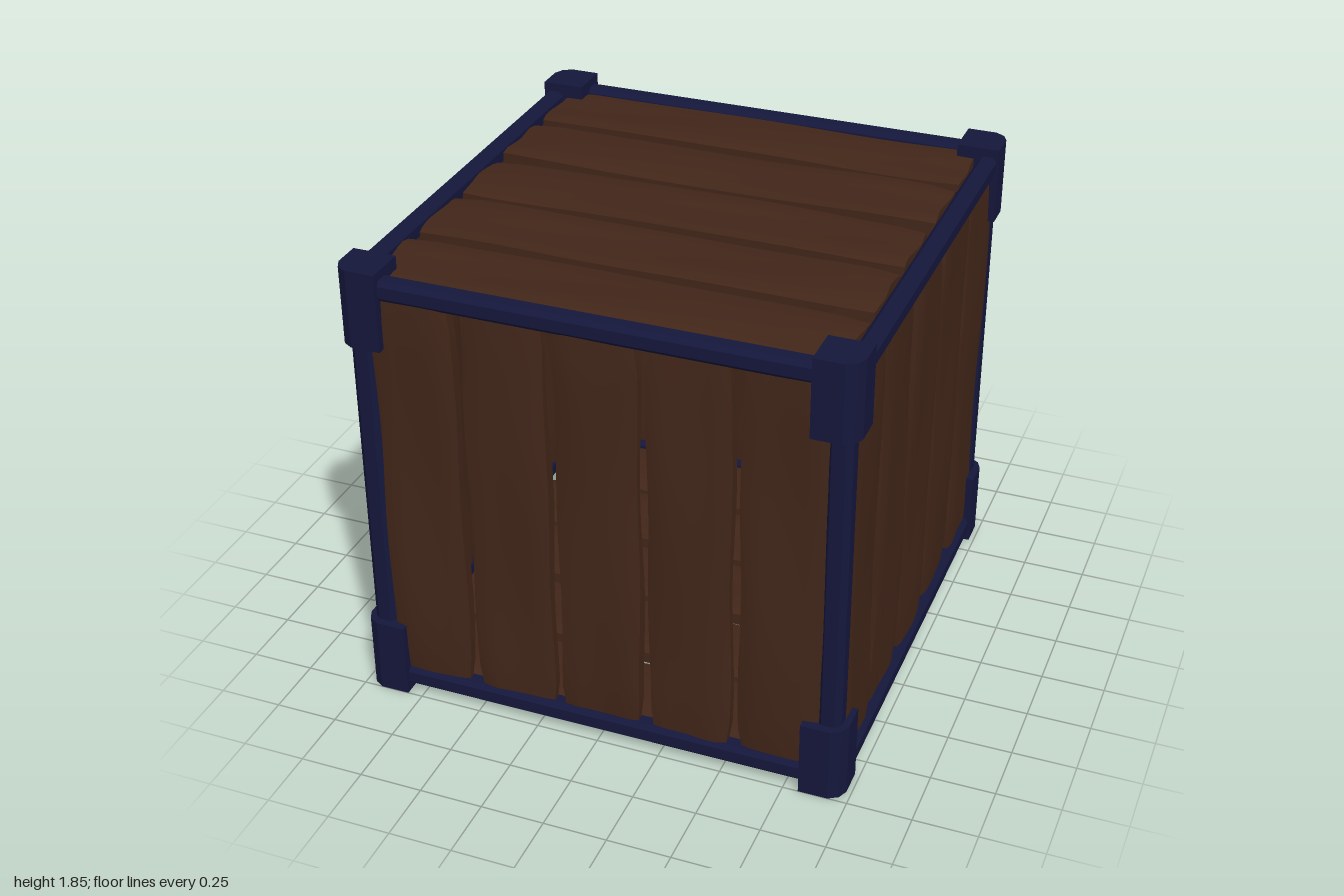
import * as THREE from 'three';
import { toCreasedNormals } from 'three/addons/utils/BufferGeometryUtils.js';

const wood = new THREE.MeshStandardMaterial({ color: 0x422619 });
const metal = new THREE.MeshStandardMaterial({ color: 0x15173c });

// Slightly warped board: length along x, thickness along y, width along z
function plankGeometry(length, thick, width, seed) {
  const geo = new THREE.BoxGeometry(length, thick, width, 16, 1, 8);
  const p = geo.attributes.position;
  for (let i = 0; i < p.count; i++) {
    const x = p.getX(i), y = p.getY(i), z = p.getZ(i);
    const u = (2 * x) / length, v = (2 * z) / width;
    // worn edges and ends, with gentle waves across the faces
    const worn = 0.3 * Math.pow(Math.abs(v), 8) + 0.2 * Math.pow(Math.abs(u), 16);
    const wave = 0.004 * Math.sin(5 * x + seed * 2.1) + 0.003 * Math.sin(17 * z + 3 * x + seed);
    const edge = 0.005 * Math.sin(7 * x + seed * 1.7 + Math.sign(v));
    const end = 0.006 * Math.sin(23 * z + seed * 3.1);
    p.setXYZ(i, x - Math.pow(Math.abs(u), 8) * Math.sign(u) * (0.006 + end),
      y * (1 - worn) + Math.sign(y) * wave, z + v * edge - v * Math.pow(Math.abs(u), 20) * 0.012);
  }
  return toCreasedNormals(geo, 0.6);
}

// Five parallel boards lying flat, spaced along z
function plankPanel(name, length, thick, pitch, gap, seed, shift) {
  const panel = new THREE.Group();
  panel.name = name;
  for (let i = 0; i < 5; i++) {
    const mesh = new THREE.Mesh(plankGeometry(length, thick, pitch - gap, seed + i * 1.37), wood);
    mesh.name = 'plank';
    mesh.position.z = (i - 2) * pitch + shift;
    panel.add(mesh);
  }
  return panel;
}

// Square bar with chamfered edges, running along its local z
function barGeometry(w, h, length, c) {
  const a = w / 2, b = h / 2;
  const shape = new THREE.Shape([
    [a - c, -b], [a, -b + c], [a, b - c], [a - c, b],
    [-a + c, b], [-a, b - c], [-a, -b + c], [-a + c, -b],
  ].map(([x, y]) => new THREE.Vector2(x, y)));
  return new THREE.ExtrudeGeometry(shape, { depth: length, bevelEnabled: false })
    .translate(0, 0, -length / 2);
}

// Corner block whose outer vertical edge is rounded by a few facets
function cornerGeometry(sx, sz) {
  const X = 0.98, Z = 1, s = 0.17;
  let pts = [
    [X - s, Z - s], [X, Z - s], [X, Z - 0.06], [X - 0.018, Z - 0.022],
    [X - 0.055, Z], [X - s, Z],
  ].map(([x, z]) => new THREE.Vector2(x * sx, -z * sz));
  if (THREE.ShapeUtils.isClockWise(pts)) pts = pts.reverse();
  return new THREE.ExtrudeGeometry(new THREE.Shape(pts), { depth: 0.31, bevelEnabled: false })
    .rotateX(-Math.PI / 2);
}

export function createModel() {
  const crate = new THREE.Group();
  crate.name = 'crate';
  const add = (name, geo, x, y, z) => {
    const mesh = new THREE.Mesh(geo, metal);
    mesh.name = name;
    mesh.position.set(x, y, z);
    crate.add(mesh);
  };

  // Corner blocks and upright posts
  for (const sx of [-1, 1]) for (const sz of [-1, 1]) {
    const corner = cornerGeometry(sx, sz);
    add('lowerCorner', corner, 0, 0, 0);
    add('upperCorner', corner, 0, 1.54, 0);
    add('post', barGeometry(0.095, 0.095, 1.4, 0.022).rotateX(Math.PI / 2),
      sx * 0.905, 0.925, sz * 0.92);
  }

  // Horizontal rails
  for (const [level, y] of [['lower', 0.068], ['upper', 1.775]]) for (const s of [-1, 1]) {
    add(level + 'CrossRail', barGeometry(0.08, 0.082, 1.75, 0.018).rotateY(Math.PI / 2), 0, y, s * 0.942);
    add(level + 'SideRail', barGeometry(0.075, 0.082, 1.8, 0.018), s * 0.934, y, 0);
  }

  // Lid and floor boards
  const lid = plankPanel('lid', 1.78, 0.055, 0.371, 0.046, 1, -0.004);
  lid.position.y = 1.775;
  const floor = plankPanel('floor', 1.77, 0.06, 0.371, 0.046, 9, -0.004);
  floor.position.y = 0.06;
  crate.add(lid, floor);

  // Upright boards on the four walls
  const wall = (name, angle, x, z, pitch, seed, shift) => {
    const panel = plankPanel(name, 1.67, 0.055, pitch, 0.036, seed, shift);
    panel.rotation.z = Math.PI / 2;
    const holder = new THREE.Group();
    holder.name = name + 'Wall';
    holder.add(panel);
    holder.rotation.y = angle;
    holder.position.set(x, 0.92, z);
    crate.add(holder);
  };
  wall('front', Math.PI / 2, 0, 0.94, 0.354, 17, 0.008);
  wall('back', Math.PI / 2, 0, -0.94, 0.354, 25, -0.008);
  wall('left', 0, 0.925, 0, 0.372, 33, 0.005);
  wall('right', 0, -0.925, 0, 0.372, 41, -0.005);

  return crate;
}
